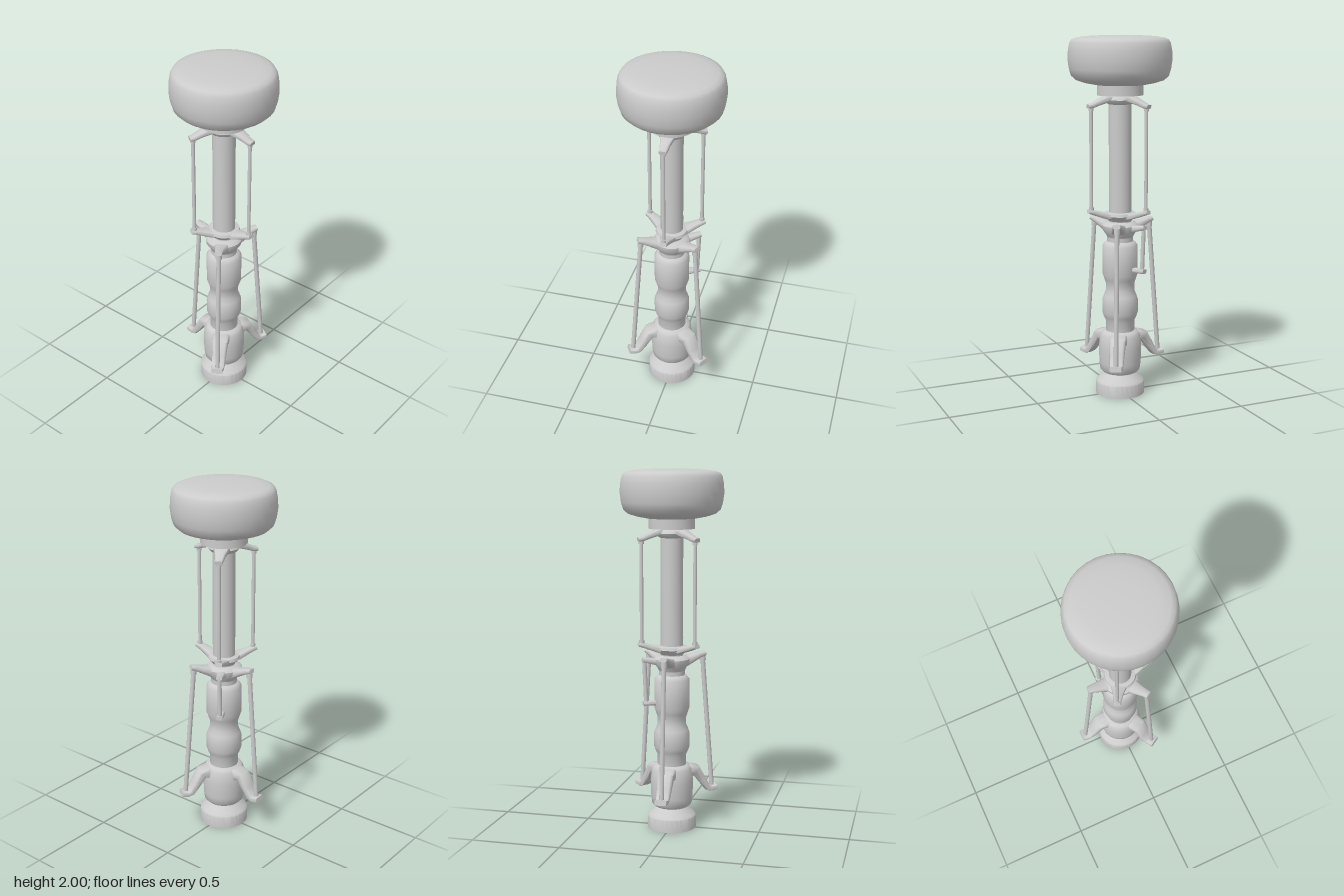
import * as THREE from 'three';
import { toCreasedNormals } from 'three/addons/utils/BufferGeometryUtils.js';

const material = new THREE.MeshStandardMaterial({ color: 0xcccccc });
const openMaterial = new THREE.MeshStandardMaterial({ color: 0xcccccc, side: THREE.DoubleSide });

function lathe(name, profile, mat = material) {
  const points = profile.map(([r, y]) => new THREE.Vector2(r, y));
  const mesh = new THREE.Mesh(toCreasedNormals(new THREE.LatheGeometry(points, 32), 0.75), mat);
  mesh.name = name;
  return mesh;
}

// Radial arm lofted through rounded sections: [radius, y, half width, half thickness]
function arm(name, sections) {
  const sides = 12, pos = [], index = [];
  sections.forEach(([r, y, w, t], i) => {
    const a = sections[Math.max(i - 1, 0)];
    const b = sections[Math.min(i + 1, sections.length - 1)];
    const len = Math.hypot(b[0] - a[0], b[1] - a[1]);
    const tx = (b[0] - a[0]) / len, ty = (b[1] - a[1]) / len;
    for (let j = 0; j < sides; j++) {
      const ang = (j / sides) * Math.PI * 2;
      const c = Math.cos(ang), s = Math.sin(ang);
      const u = Math.sign(c) * Math.sqrt(Math.abs(c)) * w;
      const v = Math.sign(s) * Math.sqrt(Math.abs(s)) * t;
      pos.push(r - ty * v, y + tx * v, u);
    }
  });
  const n = sections.length;
  for (let i = 0; i < n - 1; i++) {
    for (let j = 0; j < sides; j++) {
      const k = (j + 1) % sides, p = i * sides, q = p + sides;
      index.push(p + j, q + j, q + k, p + j, q + k, p + k);
    }
  }
  const end = (n - 1) * sides;
  for (let j = 1; j < sides - 1; j++) index.push(0, j, j + 1, end, end + j + 1, end + j);
  const geo = new THREE.BufferGeometry();
  geo.setAttribute('position', new THREE.Float32BufferAttribute(pos, 3));
  geo.setIndex(index);
  const mesh = new THREE.Mesh(toCreasedNormals(geo, 0.9), material);
  mesh.name = name;
  return mesh;
}

// Thin round rod between two [radius, y] points
function rod(name, [r0, y0], [r1, y1], radius) {
  const a = new THREE.Vector3(r0, y0, 0), d = new THREE.Vector3(r1 - r0, y1 - y0, 0);
  const mesh = new THREE.Mesh(new THREE.CylinderGeometry(radius, radius, d.length(), 10), material);
  mesh.position.copy(a).addScaledVector(d, 0.5);
  mesh.quaternion.setFromUnitVectors(new THREE.Vector3(0, 1, 0), d.normalize());
  mesh.name = name;
  return mesh;
}

function spoke(name, degrees, ...parts) {
  const group = new THREE.Group();
  group.name = name;
  group.rotation.y = -THREE.MathUtils.degToRad(degrees);
  group.add(...parts);
  return group;
}

export function createModel() {
  const model = new THREE.Group();

  // Hollow foot and central shaft
  model.add(
    lathe('base', [[0.137, 0], [0.137, 0.07], [0.128, 0.08], [0.085, 0.118], [0.085, 0.14]], openMaterial),
    lathe('lowerBody', [[0, 0.125], [0.098, 0.125], [0.112, 0.14], [0.117, 0.18], [0.12, 0.27],
      [0.112, 0.34], [0.1, 0.358], [0.08, 0.365]]),
    lathe('shaft', [[0.08, 0.34], [0.08, 0.42], [0.092, 0.445], [0.1, 0.47], [0.1, 0.54], [0.092, 0.565],
      [0.08, 0.595], [0.08, 0.635], [0.088, 0.66], [0.098, 0.69], [0.098, 0.85], [0.085, 0.868],
      [0.072, 0.875], [0.072, 0.91]]),
    lathe('lowerHub', [[0.07, 0.895], [0.08, 0.915], [0.098, 0.94], [0.1, 0.965], [0.085, 0.98], [0.06, 0.985],
      [0.06, 1.0]]),
    lathe('middleHub', [[0.058, 0.985], [0.075, 1.005], [0.09, 1.02], [0.085, 1.035], [0.058, 1.04]]),
    lathe('column', [[0.062, 0.98], [0.062, 1.69]]),
    lathe('upperHub', [[0.06, 1.63], [0.075, 1.638], [0.085, 1.655], [0.075, 1.675], [0.06, 1.682]]),
    lathe('collar', [[0, 1.68], [0.126, 1.68], [0.126, 1.75]]),
    lathe('head', [[0, 1.735], [0.13, 1.735], [0.19, 1.746], [0.24, 1.762], [0.265, 1.785], [0.276, 1.82],
      [0.283, 1.87], [0.281, 1.92], [0.273, 1.96], [0.262, 1.978], [0.24, 1.987], [0.19, 1.995],
      [0.1, 2.0], [0, 2.0]])
  );

  // Upper cage: three straight rods held by two spiders
  for (const angle of [0, 120, 240]) {
    model.add(spoke('upperCageSide', angle,
      arm('upperArm', [[0.03, 1.66, 0.05, 0.02], [0.08, 1.662, 0.042, 0.018], [0.13, 1.643, 0.028, 0.015],
        [0.165, 1.628, 0.023, 0.013], [0.19, 1.624, 0.02, 0.011]]),
      arm('middleArm', [[0.03, 1.018, 0.05, 0.016], [0.08, 1.02, 0.042, 0.017], [0.13, 1.035, 0.028, 0.015],
        [0.165, 1.046, 0.023, 0.013], [0.19, 1.052, 0.02, 0.011]]),
      rod('upperRod', [0.172, 1.04], [0.172, 1.63], 0.01),
      rod('upperRodTopSocket', [0.172, 1.6], [0.172, 1.625], 0.014),
      rod('upperRodBottomSocket', [0.172, 1.05], [0.172, 1.075], 0.014)
    ));
  }

  // Lower cage: splayed rods down to the hooked legs
  for (const angle of [60, 180, 300]) {
    model.add(spoke('lowerCageSide', angle,
      arm('lowerArm', [[0.03, 0.945, 0.05, 0.03], [0.08, 0.95, 0.042, 0.028], [0.13, 0.967, 0.03, 0.019],
        [0.165, 0.981, 0.024, 0.015], [0.195, 0.988, 0.02, 0.012]]),
      rod('lowerRod', [0.178, 0.97], [0.237, 0.21], 0.013),
      rod('lowerRodTopSocket', [0.18, 0.945], [0.178, 0.975], 0.017),
      arm('leg', [[0.05, 0.3, 0.055, 0.05], [0.1, 0.325, 0.05, 0.037], [0.137, 0.322, 0.046, 0.028],
        [0.175, 0.26, 0.041, 0.022], [0.207, 0.213, 0.038, 0.018], [0.228, 0.206, 0.036, 0.016],
        [0.262, 0.212, 0.034, 0.015]])
    ));
  }

  // Short lever rod on the back
  model.add(spoke('shortLever', 240,
    arm('shortLeverArm', [[0.05, 0.945, 0.03, 0.022], [0.11, 0.955, 0.024, 0.017], [0.168, 0.966, 0.017, 0.012]]),
    rod('shortRod', [0.158, 0.965], [0.148, 0.72], 0.012),
    arm('shortLeverBracket', [[0.08, 0.72, 0.02, 0.014], [0.125, 0.72, 0.019, 0.013], [0.165, 0.72, 0.018, 0.012]])
  ));

  return model;
}
